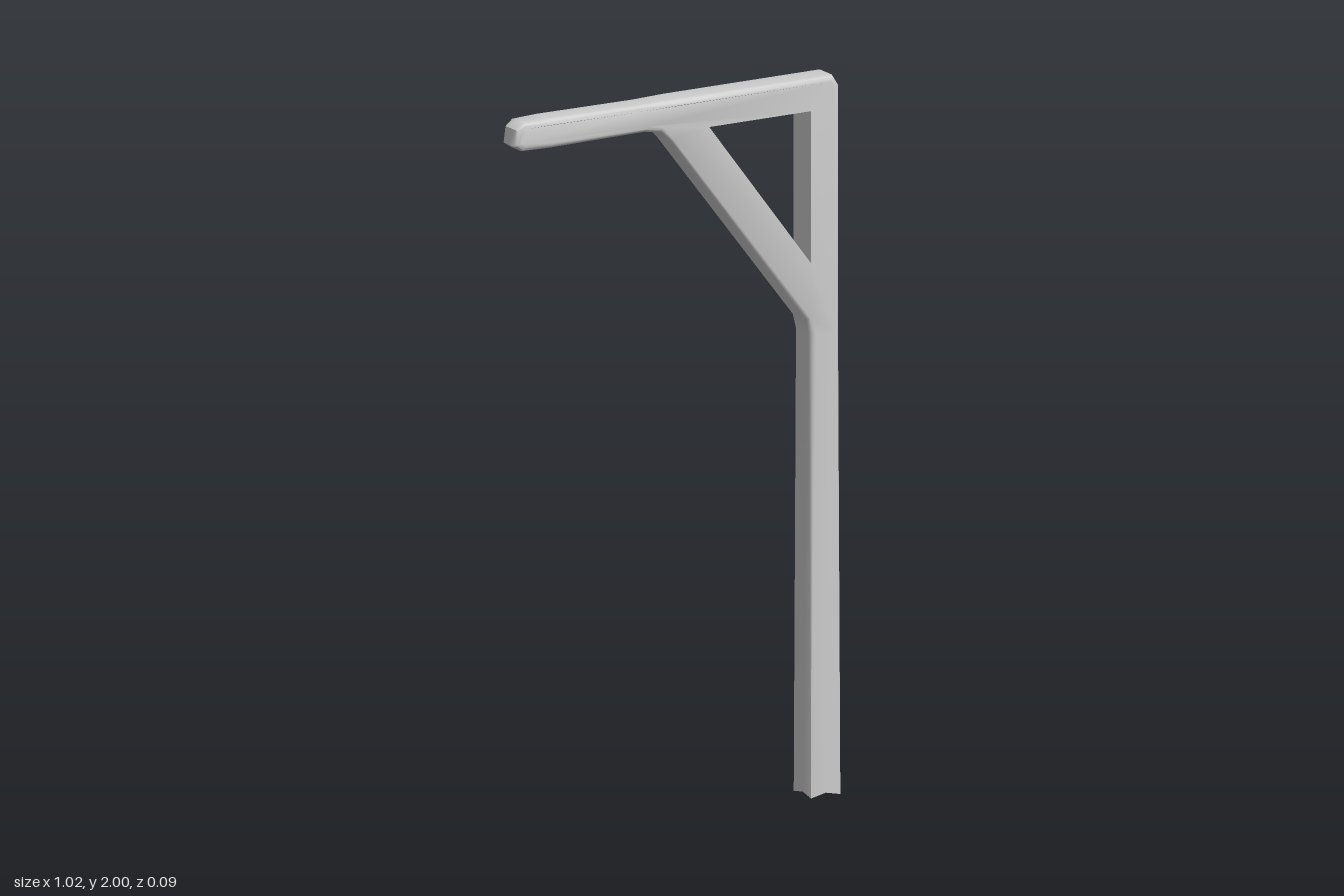
import * as THREE from 'three';
import { toCreasedNormals } from 'three/addons/utils/BufferGeometryUtils.js';

const HALF = 0.045;   // half thickness of the timber
const BEVEL = 0.016;  // softened edges
const LEFT = 0.415, RIGHT = 0.507, MID = 0.461; // post sides and middle

const nearest = (value, options) =>
  options.reduce((a, b) => (Math.abs(b - value) < Math.abs(a - value) ? b : a));

export function createModel() {
  const group = new THREE.Group();
  group.name = 'bracketPost';

  // Post, top arm and diagonal brace as one continuous outline
  const outline = [
    [LEFT, 0], [MID, 0.01], [RIGHT, 0], [RIGHT, 1.28], [RIGHT, 1.97], [0.488, 2],   // post
    [0, 2], [-0.1, 1.998], [-0.4, 2], [-0.48, 1.998], [-0.502, 1.98],               // top of arm
    [-0.508, 1.935], [-0.484, 1.919], [-0.4, 1.918], [-0.1, 1.921], [-0.055, 1.913], // tip and underside
    [-0.025, 1.885], [0.405, 1.33], [LEFT, 1.29],                                   // brace
  ].map(([x, y]) => new THREE.Vector2(x, y));
  const shape = new THREE.Shape(outline);

  // Triangular opening between post, arm and brace
  const opening = [[0.095, 1.911], [LEFT, 1.911], [LEFT, 1.488]]
    .map(([x, y]) => new THREE.Vector2(x, y));
  shape.holes.push(new THREE.Path(opening));

  const depth = 2 * (HALF - BEVEL);
  const geometry = new THREE.ExtrudeGeometry(shape, {
    depth, steps: 2, bevelThickness: BEVEL, bevelSize: BEVEL,
    bevelOffset: -BEVEL, bevelSegments: 4,
  });
  geometry.translate(0, 0, -depth / 2);

  const position = geometry.attributes.position;
  const point = new THREE.Vector2();
  for (let i = 0; i < position.count; i++) {
    let x = position.getX(i), y = position.getY(i), z = position.getZ(i);
    point.set(x, y);

    // Crisp edges around the opening
    const corner = opening.find((c) => c.distanceTo(point) < 0.065);
    if (corner) ({ x, y } = corner);

    // Square-cut foot with slightly hollow edges
    if (y < 0.06) {
      x = nearest(x, [LEFT, MID, RIGHT]);
      z = nearest(z, [-HALF, 0, HALF]);
      y = x === MID || z === 0 ? 0.01 : 0;
    }

    // Arm thins towards its free end
    z *= 1 - 0.07 * THREE.MathUtils.smoothstep(-x, 0, 0.1)
           - 0.12 * THREE.MathUtils.smoothstep(-x, 0.4, 0.5);
    position.setXYZ(i, x, y, z);
  }

  const frame = new THREE.Mesh(
    toCreasedNormals(geometry, 0.7),
    new THREE.MeshStandardMaterial({ color: 0xcccccc }),
  );
  frame.name = 'postArmAndBrace';
  group.add(frame);
  return group;
}
